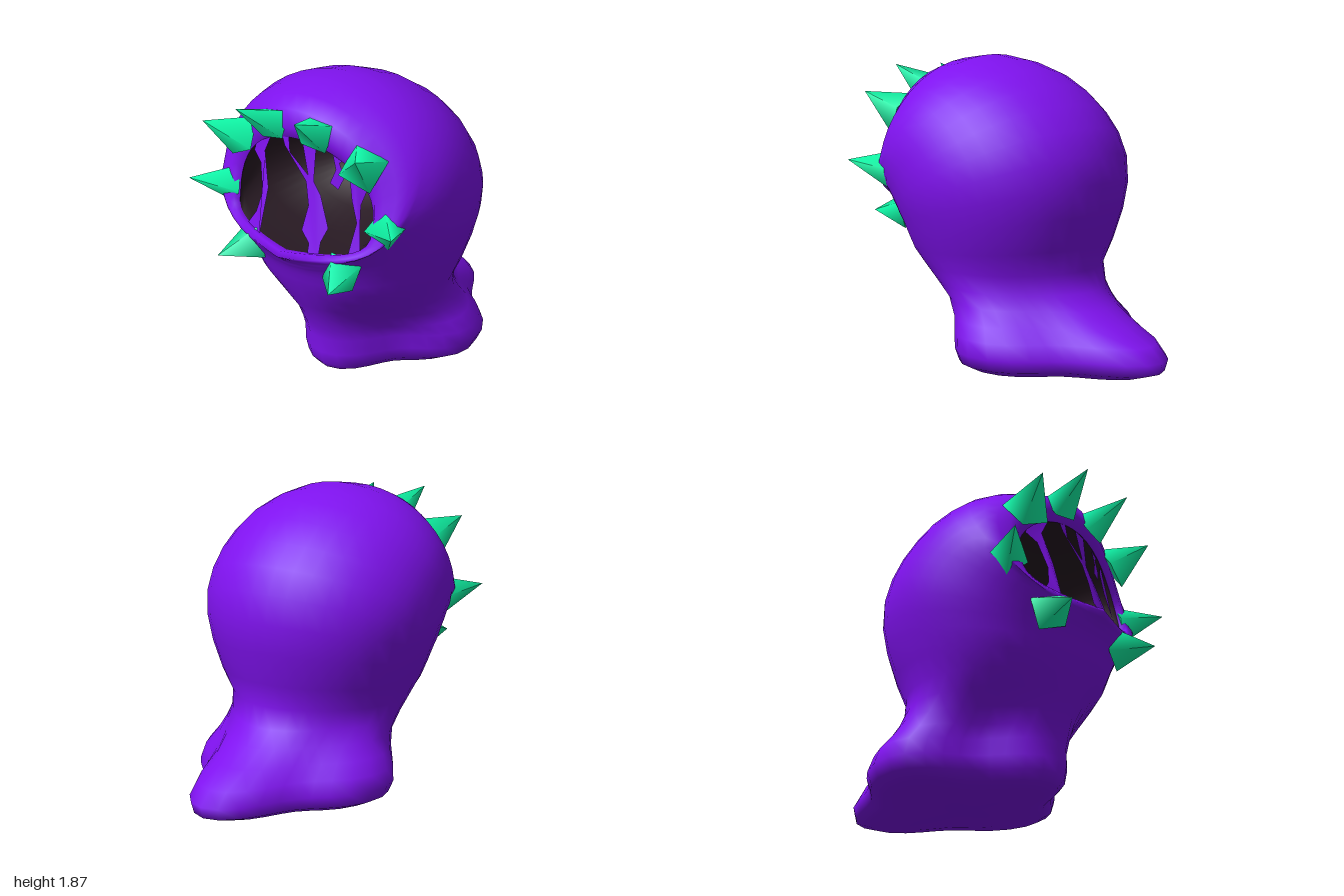
import * as THREE from 'three';

const SEG = 40;
const PURPLE = 0x7f12ee, DARK = 0x281a23, GREEN = 0x10ffac;

const material = (color, extra = {}) => new THREE.MeshStandardMaterial({ color, ...extra });

// Skin over closed sections. Each section spans a front point and a back point:
// [frontY, frontZ, backY, backZ, halfWidth, centre (0 front..1 back), lobe depth, inward bow, front roundness]
function loft(sections) {
  const pos = [], index = [];
  for (const [fy, fz, by, bz, w, t = 0.5, lobe = 0, bow = 0, round = 1] of sections) {
    const cy = fy + (by - fy) * t, cz = fz + (bz - fz) * t;
    for (let j = 0; j < SEG; j++) {
      const a = (j / SEG) * Math.PI * 2;
      const k = 1 - lobe * Math.sin(2 * a) ** 2;
      const c = Math.cos(a) * k, s = Math.sin(a) * k;
      const ey = c > 0 ? fy - cy : by - cy, ez = c > 0 ? fz - cz : bz - cz;
      const e = Math.abs(c) < 1e-6 ? 0 : Math.abs(c) ** (c > 0 ? round : 1);
      const dip = bow * (c > 0 ? Math.abs(s) : s * s);
      pos.push(w * s, cy + ey * e, cz + ez * e - dip);
    }
  }
  for (let i = 0; i < sections.length - 1; i++) {
    for (let j = 0; j < SEG; j++) {
      const a = i * SEG + j, b = i * SEG + (j + 1) % SEG;
      index.push(a, b, a + SEG, b, b + SEG, a + SEG);
    }
  }
  const g = new THREE.BufferGeometry();
  g.setAttribute('position', new THREE.Float32BufferAttribute(pos, 3));
  g.setIndex(index);
  g.computeVertexNormals();
  return g;
}

// Four-lobed foot with a long tail
const foot = [
  [0, -0.1, 0, -0.1, 0],
  [0, 0.42, 0.005, -0.65, 0.36, 0.48, 0.24],
  [0.03, 0.52, 0.03, -0.86, 0.54, 0.45, 0.24],
  [0.08, 0.56, 0.07, -0.98, 0.63, 0.43, 0.24],
  [0.16, 0.575, 0.14, -1.0, 0.665, 0.43, 0.24],
  [0.26, 0.575, 0.22, -0.92, 0.65, 0.44, 0.24],
  [0.34, 0.6, 0.3, -0.75, 0.6, 0.48, 0.2],
  [0.43, 0.63, 0.39, -0.59, 0.56, 0.52, 0.13],
  [0.52, 0.68, 0.48, -0.48, 0.555, 0.52, 0.07],
  [0.6, 0.72, 0.6, -0.43, 0.575, 0.5, 0.03],
];

// Round head: sections fan out from the chin over the back to the mouth rim
const head = [
  [0.68, 0.76, 0.75, -0.47, 0.625],
  [0.75, 0.79, 0.95, -0.53, 0.675],
  [0.8, 0.81, 1.13, -0.555, 0.71],
  [0.83, 0.825, 1.3, -0.53, 0.735],
  [0.85, 0.835, 1.45, -0.46, 0.74],
  [0.865, 0.845, 1.58, -0.35, 0.74],
  [0.88, 0.855, 1.69, -0.22, 0.73],
  [0.89, 0.86, 1.78, -0.06, 0.72],
  [0.9, 0.87, 1.84, 0.12, 0.695, 0.5, 0, 0.02, 0.95],
  [0.91, 0.88, 1.87, 0.3, 0.67, 0.48, 0, 0.05, 0.85],
  [0.92, 0.89, 1.85, 0.48, 0.645, 0.46, 0, 0.08, 0.7],
  [0.935, 0.91, 1.81, 0.62, 0.6, 0.44, 0, 0.12, 0.55],
  [0.955, 0.94, 1.76, 0.74, 0.54, 0.42, 0, 0.16, 0.45],
  [0.985, 0.92, 1.66, 0.77, 0.5, 0.4, 0, 0.15, 0.4],
  [0.97, 0.86, 1.59, 0.73, 0.475, 0.38, 0, 0.12, 0.4],
];

// Dark hollow behind the mouth
const lining = [
  [0.97, 0.86, 1.59, 0.73, 0.475, 0.38, 0, 0.12, 0.4],
  [0.96, 0.75, 1.62, 0.6, 0.5, 0.45, 0, 0.05, 0.6],
  [0.95, 0.5, 1.62, 0.42, 0.5, 0.5, 0, 0, 0.8],
  [1.0, 0.24, 1.52, 0.2, 0.4],
  [1.12, 0.12, 1.4, 0.1, 0.22],
  [1.26, 0.08, 1.26, 0.08, 0],
];

// Slimy strands stretched across the mouth, outlines in x, y
const strands = [
  [[-0.38, 1.42], [-0.31, 1.37], [-0.27, 1.21], [-0.3, 1.09], [-0.38, 0.98], [-0.24, 0.94],
    [-0.22, 1.25], [-0.27, 1.45], [-0.2, 1.58], [-0.3, 1.62]],
  [[-0.13, 1.6], [-0.1, 1.53], [0.06, 1.36], [0.09, 1.23], [0.07, 1.09], [0.13, 1.03], [0.13, 0.94],
    [0.2, 0.94], [0.2, 1.05], [0.23, 1.13], [0.16, 1.3], [0.11, 1.37], [0.12, 1.62], [0.02, 1.61],
    [0.07, 1.4], [-0.06, 1.5], [-0.07, 1.6]],
  [[0.34, 1.54], [0.32, 1.42], [0.34, 1.3], [0.38, 1.18], [0.36, 0.97], [0.43, 1.0],
    [0.4, 1.16], [0.39, 1.28], [0.42, 1.38], [0.4, 1.52]],
  [[0.2, 1.62], [0.24, 1.46], [0.21, 1.38], [0.26, 1.35], [0.29, 1.42], [0.26, 1.5], [0.34, 1.57]],
];

function strandGeometry(outline) {
  const g = new THREE.ShapeGeometry(new THREE.Shape(outline.map(([x, y]) => new THREE.Vector2(x, y))));
  const p = g.attributes.position;
  // follow the slanted, slightly hollow mouth plane
  for (let i = 0; i < p.count; i++) {
    const x = p.getX(i), v = (p.getY(i) - 0.97) / 0.62;
    p.setZ(i, 0.85 - 0.12 * v - 0.03 * Math.sin(Math.PI * Math.min(Math.max(v, 0), 1)) - 0.5 * x * x);
  }
  g.computeVertexNormals();
  return g;
}

// Spikes on one half of the rim: base centre, tip, base radius
const spikes = [
  [[0.15, 1.65, 0.74], [0.2, 1.8, 1.0], 0.11],
  [[0.42, 1.51, 0.7], [0.53, 1.64, 0.92], 0.14],
  [[0.54, 1.17, 0.66], [0.72, 1.23, 0.87], 0.12],
  [[0.32, 0.89, 0.77], [0.4, 0.87, 1.0], 0.13],
];

function spike(base, tip, radius, side) {
  const b = new THREE.Vector3(base[0] * side, base[1], base[2]);
  const t = new THREE.Vector3(tip[0] * side, tip[1], tip[2]);
  const dir = t.clone().sub(b), len = dir.length();
  const g = new THREE.ConeGeometry(radius, len, 4);
  g.rotateY(Math.PI / 4);
  g.translate(0, len / 2, 0);
  const m = new THREE.Mesh(g, material(GREEN));
  m.quaternion.setFromUnitVectors(new THREE.Vector3(0, 1, 0), dir.normalize());
  m.position.copy(b);
  m.name = side > 0 ? 'leftSpike' : 'rightSpike';
  return m;
}

export function createModel() {
  const model = new THREE.Group();
  model.name = 'spikyMouthCreature';
  const add = (name, geometry, mat) => {
    const m = new THREE.Mesh(geometry, mat);
    m.name = name;
    model.add(m);
  };

  add('body', loft([...foot, ...head]), material(PURPLE));
  add('mouthLining', loft(lining), material(DARK, { side: THREE.DoubleSide }));
  for (const s of strands) add('mouthStrand', strandGeometry(s), material(PURPLE, { side: THREE.DoubleSide }));

  const rim = new THREE.Group();
  rim.name = 'rimSpikes';
  for (const [base, tip, r] of spikes) for (const side of [1, -1]) rim.add(spike(base, tip, r, side));
  model.add(rim);
  return model;
}
